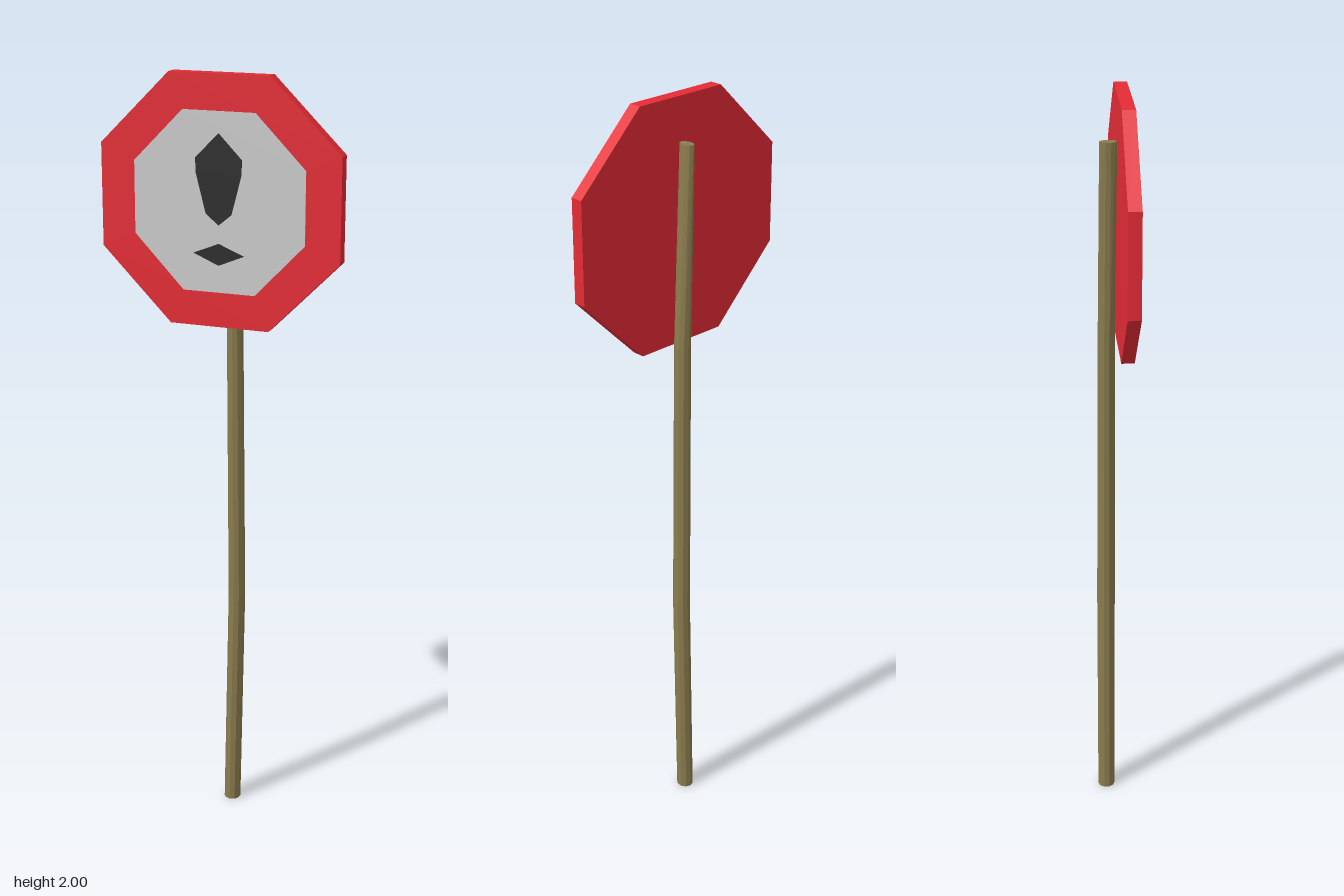
import * as THREE from 'three';

const material = (color) => new THREE.MeshStandardMaterial({ color, flatShading: true });

// Flat plate cut from an outline, from zBack to zFront
function plate(name, outline, zBack, zFront, mat) {
  const shape = new THREE.Shape(outline.map(([x, y]) => new THREE.Vector2(x, y)));
  const geometry = new THREE.ExtrudeGeometry(shape, { depth: zFront - zBack, bevelEnabled: false });
  geometry.translate(0, 0, zBack);
  const mesh = new THREE.Mesh(geometry, mat);
  mesh.name = name;
  return mesh;
}

// Mirrors a right-hand outline (listed bottom to top) across x = 0
function mirrored(half) {
  const other = half.filter(([x]) => x > 0).reverse().map(([x, y]) => [-x, y]);
  return [...half, ...other];
}

// Slightly bent wooden post, made by moving the rings of a cylinder
function makePost() {
  // each ring: y, centre x, centre z, radius x, radius z
  const rings = [
    [0, 0.015, -0.021, 0.022, 0.023],
    [0.62, 0.027, -0.02, 0.022, 0.024],
    [1.37, 0.021, -0.018, 0.021, 0.022],
    [1.89, 0.002, -0.014, 0.0138, 0.0215],
  ];
  const geometry = new THREE.CylinderGeometry(1, 1, 3, 10, 3);
  geometry.translate(0, 1.5, 0);
  const p = geometry.attributes.position;
  for (let i = 0; i < p.count; i++) {
    const [y, cx, cz, rx, rz] = rings[Math.round(p.getY(i))];
    p.setXYZ(i, cx + p.getX(i) * rx, y, cz + p.getZ(i) * rz);
  }
  geometry.computeVertexNormals();
  const mesh = new THREE.Mesh(geometry, material(0x8a7c4e));
  mesh.name = 'post';
  return mesh;
}

export function createModel() {
  const model = new THREE.Group();
  model.name = 'warningSign';
  const dark = material(0x2c2c2c);

  // Octagonal board and its inner panel
  const board = mirrored([[0.131, 1.373], [0.315, 1.558], [0.315, 1.819], [0.131, 2]]);
  const panel = mirrored([[0.095, 1.462], [0.225, 1.597], [0.225, 1.78], [0.095, 1.911]]);
  // Exclamation mark: tapered stroke and diamond dot
  const stroke = mirrored([[0, 1.632], [0.034, 1.66], [0.06, 1.76], [0.061, 1.796], [0, 1.858]]);
  const dot = mirrored([[0, 1.531], [0.067, 1.559], [0, 1.586]]);

  model.add(
    makePost(),
    plate('board', board, 0.008, 0.041, material(0xe52b35)),
    plate('innerPanel', panel, 0.038, 0.0425, material(0xcccccc)),
    plate('markStroke', stroke, 0.04, 0.044, dark),
    plate('markDot', dot, 0.04, 0.044, dark),
  );
  return model;
}
